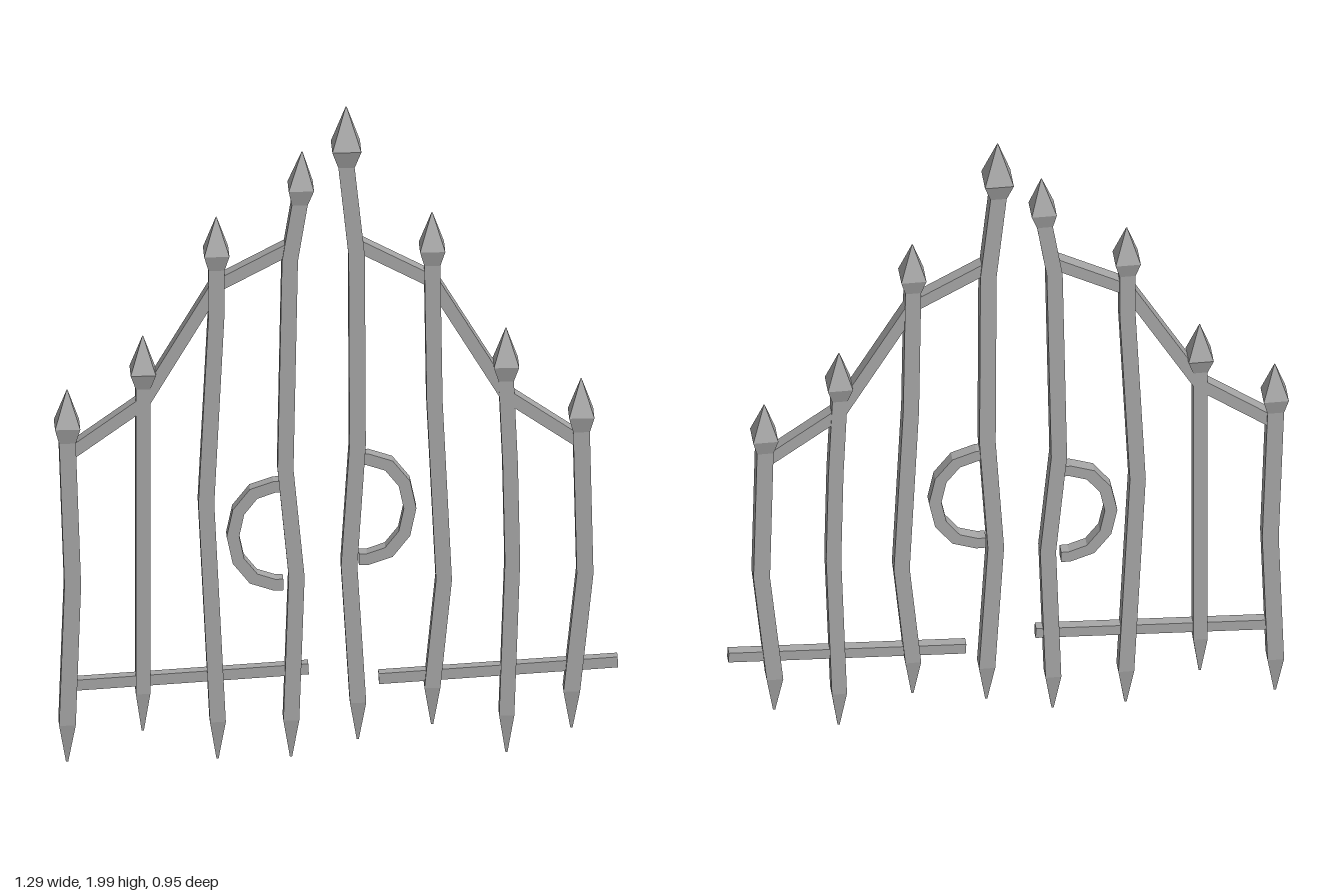
import * as THREE from 'three';

const ANGLE = THREE.MathUtils.degToRad(35.8);
const STRETCH = 1 / Math.cos(ANGLE); // frontal x -> distance along the gate

// Four-sided bar through points [x, y, halfWidth, halfDepth] in the gate's plane.
// level: keep every cross-section horizontal (pickets), otherwise mitre the joints.
function barGeometry(points, level) {
  const pts = points.map(([x, y]) => new THREE.Vector2(x * STRETCH, y));
  const last = pts.length - 1;
  const pos = [], index = [];
  pts.forEach((p, i) => {
    const [, , w, d] = points[i];
    const n = new THREE.Vector2(1, 0);
    let k = 1;
    if (!level) {
      const a = pts[Math.max(i, 1)].clone().sub(pts[Math.max(i, 1) - 1]).normalize();
      const j = Math.min(i, last - 1);
      const b = pts[j + 1].clone().sub(pts[j]).normalize();
      const t = a.clone().add(b).normalize();
      n.set(t.y, -t.x);
      k = 1 / Math.max(0.5, t.dot(a));
    }
    for (const [s, z] of [[-1, -1], [1, -1], [1, 1], [-1, 1]])
      pos.push(p.x + n.x * w * s * k, p.y + n.y * w * s * k, z * d);
  });
  for (let i = 0; i < last; i++)
    for (let c = 0; c < 4; c++) {
      const a = i * 4 + c, b = i * 4 + (c + 1) % 4;
      index.push(a, b + 4, b, a, a + 4, b + 4);
    }
  const e = last * 4;
  index.push(0, 1, 2, 0, 2, 3, e, e + 2, e + 1, e, e + 3, e + 2);
  const g = new THREE.BufferGeometry();
  g.setAttribute('position', new THREE.Float32BufferAttribute(pos, 3));
  g.setIndex(index);
  const flat = g.toNonIndexed();
  flat.computeVertexNormals();
  return flat;
}

export function createModel() {
  const iron = new THREE.MeshStandardMaterial({ color: 0xa6a6a6, flatShading: true });
  iron.name = 'weathered iron grey';

  const gate = new THREE.Group();
  gate.name = 'gate';
  gate.rotation.y = -ANGLE;
  const leaves = {};
  for (const side of ['right', 'left']) {
    leaves[side] = new THREE.Group();
    leaves[side].name = side + 'Leaf';
    gate.add(leaves[side]);
  }
  const add = (side, name, points, level = false) => {
    const mesh = new THREE.Mesh(barGeometry(points, level), iron);
    mesh.name = name;
    leaves[side].add(mesh);
  };
  const bar = (side, name, points, w, d = w) =>
    add(side, name, points.map(([x, y]) => [x, y, w, d]));

  // Crooked pickets: bottom point, bent shaft, spear head
  const pickets = [
    { side: 'right', foot: [-0.6, 0.01], bends: [[-0.588, 0.56]], tip: [-0.6, 1.15], w: 0.023 },
    { side: 'right', foot: [-0.43, 0.1], bends: [], tip: [-0.43, 1.31], w: 0.02 },
    { side: 'right', foot: [-0.262, 0.01], bends: [[-0.288, 0.8], [-0.265, 1.38]], tip: [-0.265, 1.67], w: 0.022 },
    { side: 'right', foot: [-0.097, 0.01], bends: [[-0.085, 0.57], [-0.11, 0.9], [-0.1, 1.54]], neck: -0.078, tip: [-0.072, 1.865], w: 0.022 },
    { side: 'left', foot: [0.053, 0.06], bends: [[0.033, 0.6], [0.052, 0.97], [0.05, 1.55]], neck: 0.027, tip: [0.027, 2], w: 0.0225, head: 1.15 },
    { side: 'left', foot: [0.22, 0.1], bends: [[0.246, 0.55], [0.225, 1.1]], tip: [0.22, 1.67], w: 0.022 },
    { side: 'left', foot: [0.387, 0.01], bends: [[0.4, 0.6], [0.395, 0.9]], tip: [0.386, 1.31], w: 0.021 },
    { side: 'left', foot: [0.533, 0.08], bends: [[0.563, 0.56]], tip: [0.555, 1.15], w: 0.023 },
  ];
  for (const { side, foot, bends, tip, neck = tip[0], w, head = 1 } of pickets) {
    const [tx, ty] = tip, h = 0.035 * head;
    add(side, 'picket', [
      [foot[0], foot[1], 0.003, 0.003],
      [foot[0], foot[1] + 0.12, w, w],
      ...bends.map(([x, y]) => [x, y, w, w]),
      [neck, ty - 0.155 * head, w, w],
    ], true);
    add(side, 'spearHead', [
      [neck, ty - 0.155 * head, w, w],
      [(neck + tx) / 2, ty - 0.107 * head, h, h],
      [tx, ty, 0.001, 0.001],
    ], true);
  }

  // Stepped top rails, one bar between each pair of pickets
  const topRails = {
    right: [[-0.6, 0.955], [-0.43, 1.11], [-0.265, 1.465], [-0.1, 1.575]],
    left: [[0.045, 1.585], [0.22, 1.465], [0.386, 1.11], [0.555, 0.96]],
  };
  for (const side in topRails)
    for (let i = 0; i < 3; i++)
      bar(side, 'topRail', topRails[side].slice(i, i + 2), 0.018);

  // Slightly tilted bottom rails
  bar('right', 'bottomRail', [[-0.59, 0.248], [-0.058, 0.283]], 0.016, 0.014);
  bar('left', 'bottomRail', [[0.1, 0.248], [0.637, 0.283]], 0.016, 0.014);

  // Half-ring handles beside the gap
  const handle = (side, dir, x, y, rx, ry) => {
    const pts = [[x - dir * 0.02, y + ry]];
    for (let i = 0; i <= 6; i++) {
      const a = Math.PI / 2 - (i / 6) * Math.PI;
      pts.push([x + dir * rx * Math.cos(a), y + ry * Math.sin(a)]);
    }
    pts.push([x - dir * 0.02, y - ry]);
    bar(side, 'ringHandle', pts, 0.017);
  };
  handle('right', -1, -0.135, 0.695, 0.093, 0.15);
  handle('left', 1, 0.075, 0.77, 0.095, 0.153);

  const model = new THREE.Group();
  model.name = 'wroughtIronGate';
  model.add(gate);
  return model;
}
